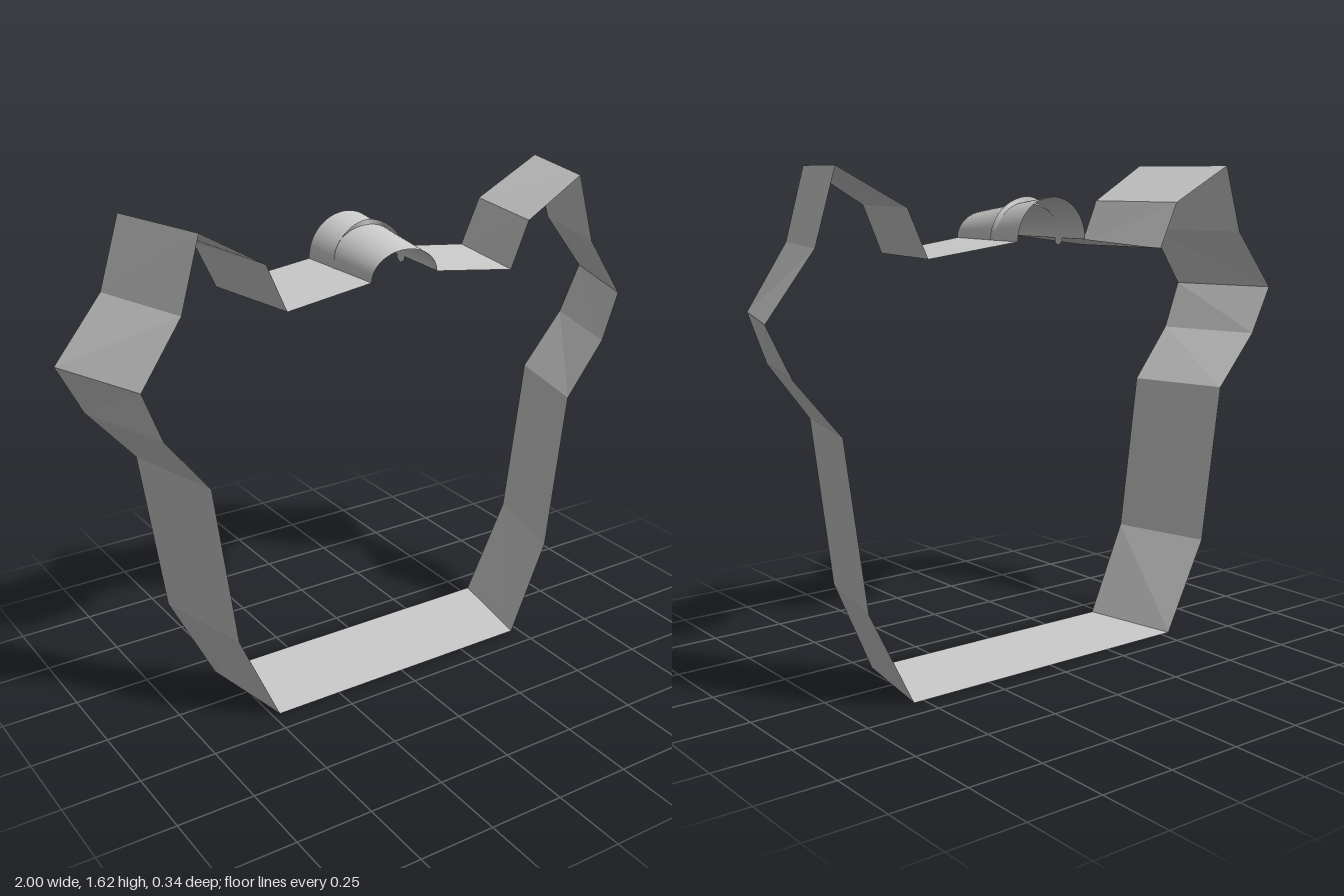
import * as THREE from 'three';

const DEPTH = 0.17;

// Open ribbon surface between two matching rows of points.
function ribbon(name, rowA, rowB, material) {
  const positions = [];
  const index = [];
  rowA.forEach((a, i) => {
    positions.push(...a, ...rowB[i]);
    if (i > 0) {
      const k = 2 * i;
      index.push(k - 2, k, k - 1, k - 1, k, k + 1);
    }
  });
  const geometry = new THREE.BufferGeometry();
  geometry.setAttribute('position', new THREE.Float32BufferAttribute(positions, 3));
  geometry.setIndex(index);
  geometry.computeVertexNormals();
  const mesh = new THREE.Mesh(geometry, material);
  mesh.name = name;
  return mesh;
}

export function createModel() {
  const group = new THREE.Group();
  group.name = 'outlineBand';
  const flat = new THREE.MeshStandardMaterial({ color: 0xcccccc, side: THREE.DoubleSide, flatShading: true });
  const smooth = new THREE.MeshStandardMaterial({ color: 0xcccccc, side: THREE.DoubleSide });

  // Half outline from the base up to the arch: [back x, front x, y]
  const half = [
    [0.535, 0.475, 0], [0.69, 0.61, 0.31], [0.765, 0.68, 0.85],
    [0.92, 0.82, 1.03], [1.0, 0.88, 1.19], [0.84, 0.745, 1.39],
    [0.77, 0.68, 1.615], [0.535, 0.475, 1.495], [0.465, 0.41, 1.345],
    [0.135, 0.12, 1.385],
  ];
  const back = (s) => half.map(([b, , y]) => [s * b, y, -DEPTH]);
  const front = (s) => half.map(([, f, y]) => [s * f, y, DEPTH]);
  group.add(ribbon('leftSide', back(1), front(1), flat));
  group.add(ribbon('rightSide', front(-1), back(-1), flat));

  // Flat base strip
  group.add(ribbon('base',
    [[-0.535, 0, -DEPTH], [0.535, 0, -DEPTH]],
    [[-0.475, 0, DEPTH], [0.475, 0, DEPTH]], flat));

  // Arch at the top, narrower and lower toward the front
  const arc = (rx, ry, z, n = 32) => Array.from({ length: n + 1 }, (_, i) => {
    const a = Math.PI * i / n;
    return [rx * Math.cos(a), 1.385 + ry * Math.sin(a), z];
  });
  group.add(ribbon('arch', arc(0.135, 0.135, -DEPTH), arc(0.12, 0.085, DEPTH), smooth));

  // Slim hoop over the arch: upright at the crown, turning flat into rounded tips
  const hoop = (side) => Array.from({ length: 41 }, (_, i) => {
    const t = i / 20 - 1;
    const a = Math.PI / 2 - t * (Math.PI / 2 + 0.2);
    const tip = Math.sqrt(Math.max(0, 1 - Math.max(0, (Math.abs(t) - 0.9) / 0.1) ** 2));
    const radial = side * 0.012 * (1 - Math.abs(t)) * tip;
    const spread = side * 0.022 * Math.abs(t) * tip;
    return [(0.13 + radial) * Math.cos(a), 1.385 + (0.122 + radial) * Math.sin(a), -0.043 + spread];
  });
  group.add(ribbon('hoop', hoop(-1), hoop(1), smooth));

  return group;
}
